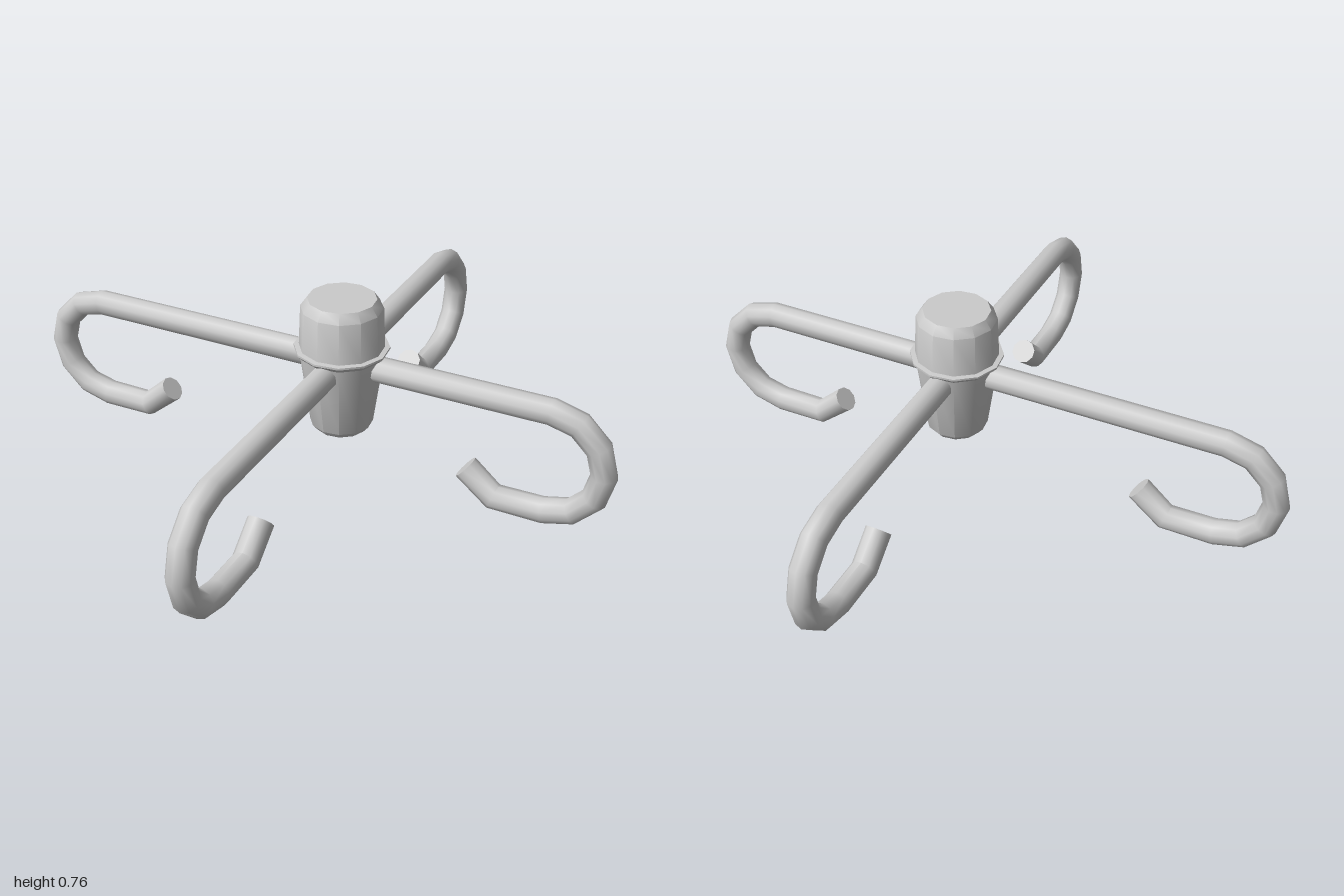
import * as THREE from 'three';
import { toCreasedNormals } from 'three/addons/utils/BufferGeometryUtils.js';

// Round bar swept along a polyline lying in the local xy plane, capped at both ends
function barGeometry(path, radius, sides) {
  const pos = [], idx = [];
  const last = path.length - 1;
  path.forEach(([x, y], i) => {
    const dir = (a, b) => new THREE.Vector2(path[b][0] - path[a][0], path[b][1] - path[a][1]).normalize();
    const t = new THREE.Vector2();
    if (i > 0) t.add(dir(i - 1, i));
    if (i < last) t.add(dir(i, i + 1));
    t.normalize();
    for (let j = 0; j < sides; j++) {
      const a = (j / sides) * Math.PI * 2, c = Math.cos(a) * radius;
      pos.push(x - t.y * c, y + t.x * c, Math.sin(a) * radius);
    }
  });
  const startCap = pos.length / 3, endCap = startCap + 1;
  pos.push(...path[0], 0, ...path[last], 0);
  for (let j = 0; j < sides; j++) {
    const k = (j + 1) % sides;
    for (let i = 0; i < last; i++) {
      const a = i * sides + j, b = i * sides + k;
      idx.push(a, b, a + sides, b, b + sides, a + sides);
    }
    idx.push(startCap, k, j, endCap, last * sides + j, last * sides + k);
  }
  const g = new THREE.BufferGeometry();
  g.setAttribute('position', new THREE.Float32BufferAttribute(pos, 3));
  g.setIndex(idx);
  return toCreasedNormals(g, 0.9);
}

// Arm profile: straight bar, half-round bend, short return and upturned tip
function hookPath(reach) {
  const r = 0.219, midY = 0.271, bendX = reach - r;
  const path = [[0.03, midY + r]];
  for (let i = 0; i <= 6; i++) {
    const a = Math.PI / 2 - (i / 6) * Math.PI;
    path.push([bendX + Math.cos(a) * r, midY + Math.sin(a) * r]);
  }
  path.push([reach - 0.42, midY - r], [reach - 0.54, 0.153]);
  return path;
}

export function createModel() {
  const model = new THREE.Group();
  const material = new THREE.MeshStandardMaterial({ color: 0xcccccc });
  const center = new THREE.Group();
  center.name = 'hookHanger';
  center.position.set(-0.006, 0, 0.102);
  model.add(center);

  // Tapered hub with a thin flange and chamfered ends
  const profile = [
    [0, 0.2], [0.105, 0.2], [0.126, 0.225], [0.168, 0.53], [0.188, 0.55],
    [0.188, 0.558], [0.168, 0.56], [0.161, 0.725], [0.135, 0.762], [0, 0.762],
  ].map(([x, y]) => new THREE.Vector2(x, y));
  const hub = new THREE.Mesh(toCreasedNormals(new THREE.LatheGeometry(profile, 12), 0.6), material);
  hub.name = 'hub';
  center.add(hub);

  // Four hooked arms a quarter turn apart, one pair set off-centre
  const reaches = [1.21, 1.34, 1.205, 1.075];
  reaches.forEach((reach, i) => {
    const arm = new THREE.Mesh(barGeometry(hookPath(reach), 0.052, 10), material);
    arm.name = 'hookArm' + (i + 1);
    arm.rotation.y = THREE.MathUtils.degToRad(38 + 90 * i);
    center.add(arm);
  });

  return model;
}
